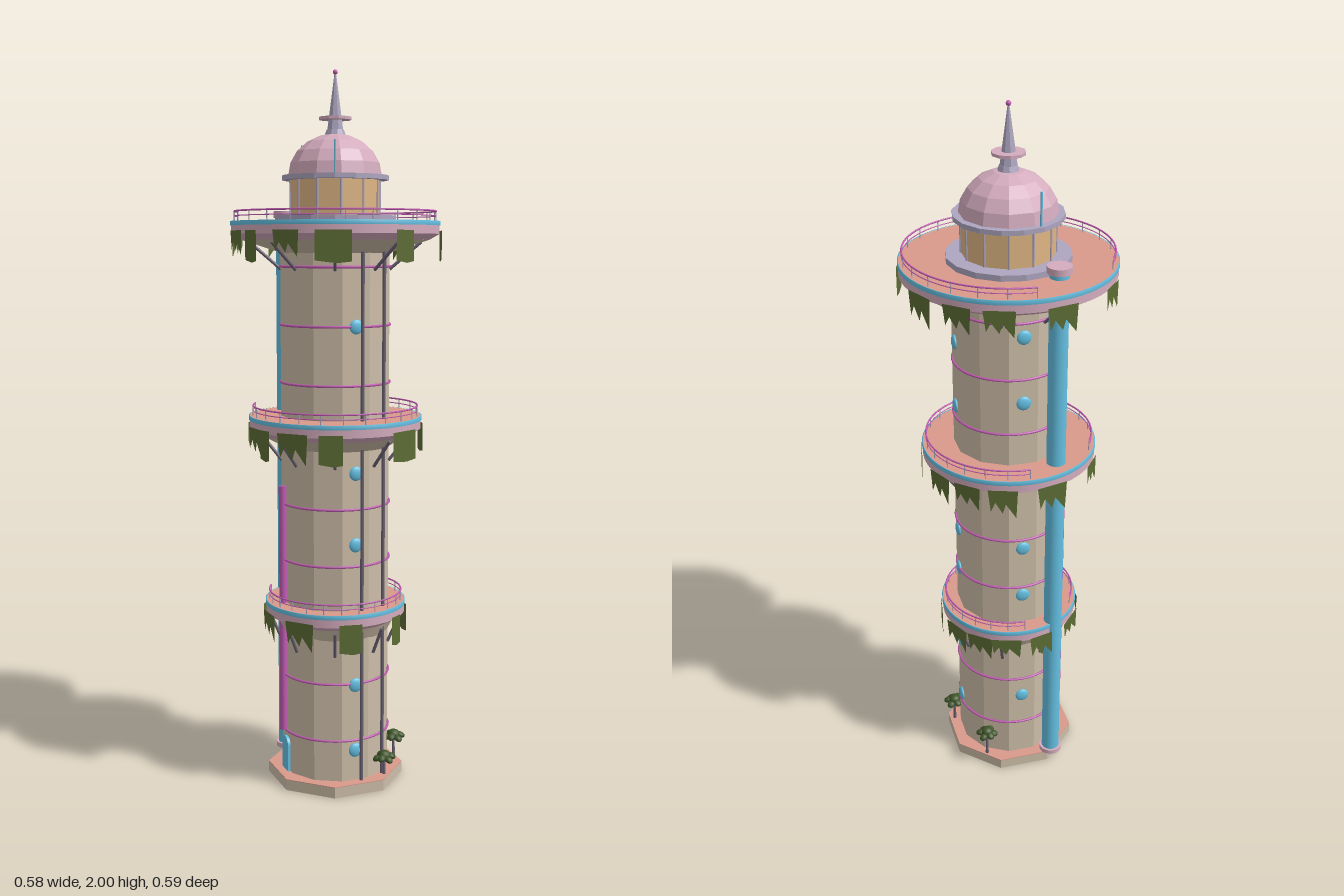
import * as THREE from 'three';

const mat = (name, color) => new THREE.MeshStandardMaterial({ name, color });

export function createModel() {
  const root = new THREE.Group();
  root.name = 'tower';
  const M = {
    stone: mat('stone', 0xcdbda8), floor: mat('terracotta', 0xd99a8a), pink: mat('pink', 0xd4acbe),
    lavender: mat('lavender', 0xaea6c0), blue: mat('blue', 0x64c0e2), magenta: mat('magenta', 0xc05cb2),
    gold: mat('gold', 0xdfb684), dark: mat('dark metal', 0x6a6272), vine: mat('vine green', 0x5c6c34),
    leaf: mat('leaf green', 0x3e5428),
  };
  M.vine.side = THREE.DoubleSide;
  let seed = 7;
  const rnd = () => (seed = (seed * 16807) % 2147483647) / 2147483647;

  const flat = (g) => {
    const f = g.toNonIndexed();
    f.computeVertexNormals();
    return f;
  };
  const add = (name, geo, m, x = 0, y = 0, z = 0, parent = root) => {
    const o = new THREE.Mesh(geo, m);
    o.name = name;
    o.position.set(x, y, z);
    parent.add(o);
    return o;
  };
  // upright faceted cylinder between two heights
  const cyl = (name, rTop, rBot, y0, y1, n, m) =>
    add(name, flat(new THREE.CylinderGeometry(rTop, rBot, y1 - y0, n)), m, 0, (y0 + y1) / 2, 0);
  // thin smooth rod between two points
  const rod = (name, a, b, r, m) => {
    const d = b.clone().sub(a);
    const o = add(name, new THREE.CylinderGeometry(r, r, d.length(), 12), m);
    o.position.copy(a).addScaledVector(d, 0.5);
    o.quaternion.setFromUnitVectors(new THREE.Vector3(0, 1, 0), d.normalize());
  };
  // point at azimuth a (0 = front, quarter turn = +x)
  const polar = (r, a, y) => new THREE.Vector3(Math.sin(a) * r, y, Math.cos(a) * r);
  const lathe = (pts, n) => new THREE.LatheGeometry(pts.map(p => new THREE.Vector2(...p)), n);

  // Octagonal plinth with terracotta top
  cyl('plinth', 0.194, 0.194, 0, 0.03, 8, M.stone).rotation.y = Math.PI / 8;
  cyl('plinthTop', 0.194, 0.194, 0.03, 0.032, 8, M.floor).rotation.y = Math.PI / 8;

  // Shaft and its thin hoops
  cyl('shaft', 0.153, 0.153, 0.03, 1.56, 12, M.stone);
  for (const y of [0.15, 0.315, 0.65, 0.81, 1.15, 1.31, 1.47])
    add('hoop', new THREE.TorusGeometry(0.153, 0.0035, 8, 48).rotateX(Math.PI / 2), M.magenta, 0, y, 0);

  // Hanging vine sheets: broad panel or ragged tips
  const vineGeo = (w, h, panel) => {
    const pts = panel
      ? [[0.5, 0], [0.5, -0.95], [0.1, -1], [-0.5, -0.92], [-0.5, 0]]
      : [[0.5, 0], [0.45, -1], [0.1, -0.5], [0, -0.85], [-0.25, -0.45], [-0.4, -0.8], [-0.5, 0]];
    return new THREE.ShapeGeometry(new THREE.Shape(pts.map(([x, y]) => new THREE.Vector2(x * w, y * h))));
  };

  // Three galleries: radius, floor height, and [azimuth, width] of the broad vines
  const galleries = [
    [0.2, 0.525, [[0.61, 0.065], [1.4, 0.045], [2.2, 0.07]]],
    [0.243, 1.055, [[0.35, 0.065], [1.27, 0.1], [2.12, 0.065], [-0.5, 0.04]]],
    [0.29, 1.592, [[-0.47, 0.047], [0.38, 0.095], [1.07, 0.06], [1.98, 0.07]]],
  ];
  for (const [R, y, panels] of galleries) {
    const e = R - 0.002;
    add('gallerySlab', lathe([[R - 0.03, y - 0.05], [e, y - 0.034]], 48), M.pink);
    add('galleryRim', lathe([[e, y - 0.034], [e, y - 0.01]], 48), M.pink);
    add('galleryUnderside', lathe([[0.151, y - 0.085], [R - 0.03, y - 0.05]], 24), M.stone);
    add('galleryFloor', new THREE.CircleGeometry(R - 0.002, 48).rotateX(-Math.PI / 2), M.floor, 0, y, 0);
    add('blueTrim', lathe([[e, y - 0.011], [R, y - 0.011], [R, y + 0.001], [R - 0.003, y + 0.001]], 48), M.blue);

    // Railing, open beside the large pipe
    const start = -2.34, arc = 5.26;
    for (const [h, r] of [[0.028, 0.0024], [0.015, 0.0014]])
      add('handrail', new THREE.TorusGeometry(R - 0.012, r, 8, 64, arc).rotateX(Math.PI / 2).rotateY(-start),
        M.magenta, 0, y + h, 0);
    for (let i = 0; i <= 20; i++) {
      const a = Math.PI / 2 - (start + arc * i / 20);
      rod('railPost', polar(R - 0.012, a, y), polar(R - 0.012, a, y + 0.028), 0.0015, M.lavender);
    }

    // Diagonal struts
    const reach = 0.16 + (R - 0.16) * 0.6;
    for (let i = 0; i < 8; i++) {
      const a = Math.PI / 8 + i * Math.PI / 4;
      rod('strut', polar(0.151, a, y - 0.13), polar(reach, a, y - 0.055), 0.0045, M.dark);
    }

    // Vines hanging from the rim
    const hang = (a, w, h, panel) => {
      const v = add('vine', vineGeo(w, h, panel), M.vine);
      v.position.copy(polar(R + 0.002, a, y - 0.025));
      v.rotation.y = a;
    };
    for (const [a, w] of panels) hang(a, w, 0.085, true);
    for (const a of [-1.5, -0.8, -0.15, 2.75, 3.15, 3.55, 4.1])
      hang(a + 0.1 * rnd(), 0.075 + 0.02 * rnd(), 0.06 + 0.025 * rnd(), false);
  }

  // Large service pipe with flanges
  const px = -0.178, pz = -0.054;
  add('servicePipe', new THREE.CylinderGeometry(0.026, 0.026, 1.56, 24), M.blue, px, 0.825, pz);
  for (const [y, h] of [[0.041, 0.014], [1.614, 0.018]])
    add('pipeFlange', new THREE.CylinderGeometry(0.033, 0.033, h, 24), M.pink, px, y, pz);

  // Magenta pipe above the door and dark drain pipes
  rod('slimPipe', new THREE.Vector3(-0.115, 0.15, 0.107), new THREE.Vector3(-0.115, 0.86, 0.107), 0.011, M.magenta);
  for (const [x, z] of [[0.157, 0.03], [0.122, 0.1]])
    rod('drainPipe', new THREE.Vector3(x, 0.03, z), new THREE.Vector3(x, 1.53, z), 0.005, M.dark);

  // Bulging round windows on the diagonals
  const windows = [
    [Math.PI / 4, [0.12, 0.31, 0.71, 0.91, 1.31]],
    [Math.PI * 3 / 4, [0.17, 0.38, 0.645, 0.78, 1.18, 1.37]],
    [-Math.PI * 3 / 4, [0.25, 0.62, 0.78, 1.24, 1.43]],
  ];
  for (const [a, ys] of windows) for (const y of ys) {
    const w = add('window', new THREE.SphereGeometry(0.02, 16, 12), M.blue);
    w.position.copy(polar(0.15, a, y));
    w.rotation.y = a;
    w.scale.z = 0.4;
  }

  // Arched door
  const arch = new THREE.Shape();
  arch.moveTo(-0.024, 0);
  arch.lineTo(0.024, 0);
  arch.lineTo(0.024, 0.075);
  arch.absarc(0, 0.075, 0.024, 0, Math.PI, false);
  const door = add('door', new THREE.ExtrudeGeometry(arch, { depth: 0.008, bevelEnabled: false }), M.blue);
  door.position.copy(polar(0.148, -Math.PI / 4, 0.032));
  door.rotation.y = -Math.PI / 4;

  // Lantern room
  cyl('lanternBase', 0.167, 0.167, 1.59, 1.608, 16, M.lavender);
  cyl('lanternWall', 0.124, 0.124, 1.605, 1.705, 12, M.gold);
  for (let i = 0; i < 12; i++) {
    const a = i * Math.PI / 6;
    rod('lanternPost', polar(0.124, a, 1.605), polar(0.124, a, 1.705), 0.003, M.lavender);
  }
  cyl('cornice', 0.147, 0.147, 1.704, 1.717, 16, M.lavender);

  // Faceted dome
  const dome = [];
  for (let i = 0; i <= 5; i++) {
    const t = i / 5 * Math.PI / 2;
    dome.push([Math.max(0.0001, 0.13 * Math.cos(t)), 1.715 + 0.115 * Math.sin(t)]);
  }
  add('dome', flat(lathe(dome, 12)), M.pink);

  // Finial
  cyl('finialCollar', 0.024, 0.03, 1.822, 1.84, 10, M.lavender);
  cyl('finialDisc', 0.045, 0.045, 1.866, 1.874, 10, M.pink);
  cyl('spire', 0.002, 0.024, 1.835, 1.992, 8, M.lavender);
  add('spireTip', new THREE.SphereGeometry(0.007, 10, 8), M.magenta, 0, 1.993, 0);

  // Thin masts beside the dome
  for (const [x, z] of [[0.05, 0.122], [-0.125, -0.056]])
    rod('mast', new THREE.Vector3(x, 1.715, z), new THREE.Vector3(x, 1.805, z), 0.003, M.blue);

  // Small trees on the plinth
  for (const [x, z, h] of [[0.166, 0.035, 0.055], [0.152, -0.08, 0.075], [-0.02, -0.17, 0.085]]) {
    const tree = new THREE.Group();
    tree.name = 'tree';
    tree.position.set(x, 0.03, z);
    root.add(tree);
    add('trunk', new THREE.CylinderGeometry(0.003, 0.005, h, 10), M.dark, 0, h / 2, 0, tree);
    add('crown', new THREE.SphereGeometry(0.018, 12, 8), M.leaf, 0, h + 0.003, 0, tree).scale.y = 0.8;
    for (let i = 0; i < 6; i++) {
      const a = i / 6 * Math.PI * 2;
      const p = polar(0.02, a, h - 0.005 * (i % 2));
      const l = add('leaf', new THREE.SphereGeometry(0.014, 10, 6), M.leaf, p.x, p.y, p.z, tree);
      l.scale.set(0.8, 0.6, 1);
      l.rotation.set(0.4, a, 0, 'YXZ');
    }
  }
  return root;
}
